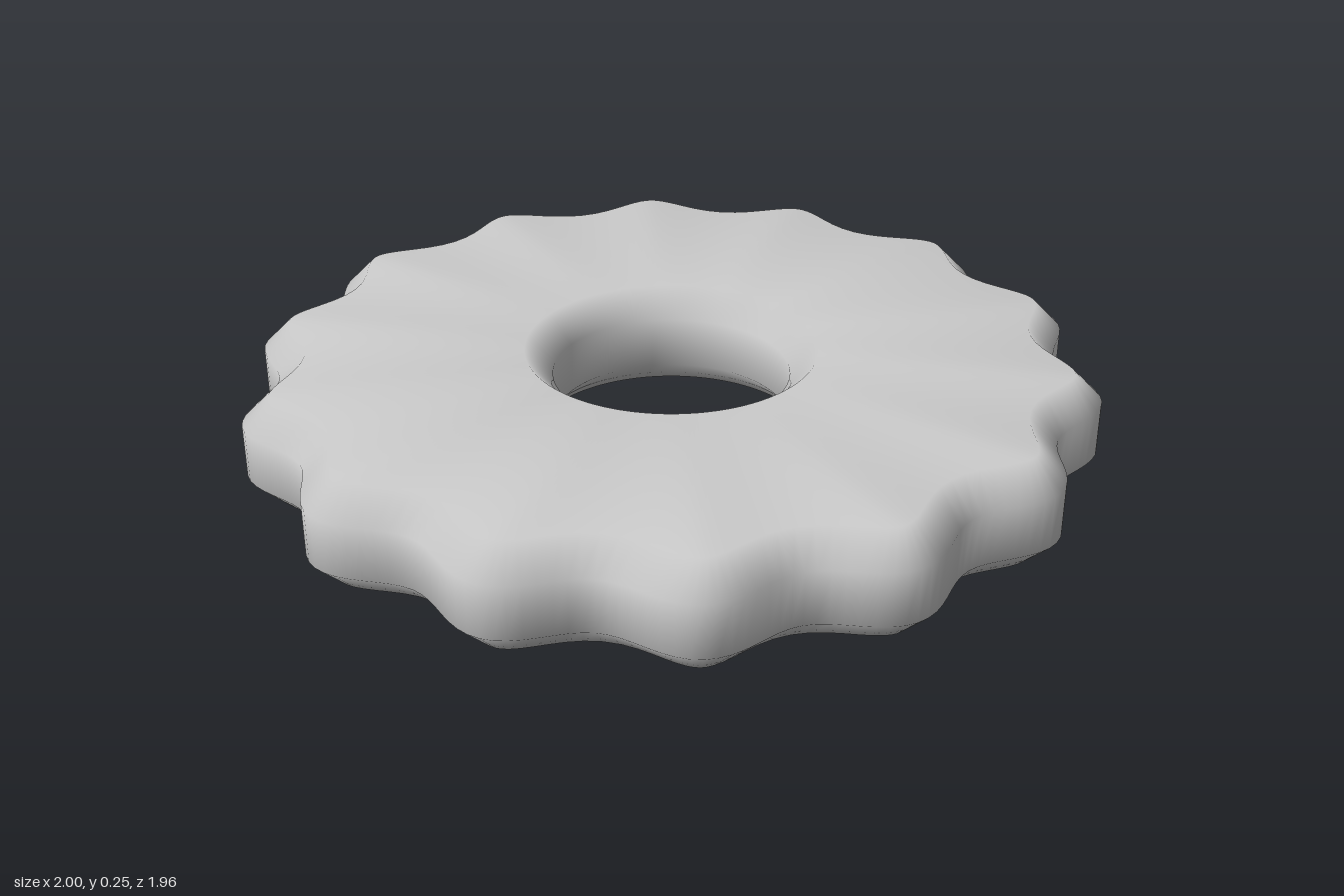
import * as THREE from 'three';

const LOBES = 14, SEGMENTS = LOBES * 16;
const HEIGHT = 0.255, BEVEL = 0.065, HOLE = 0.28;

// Point on the wavy rim, moved inwards along the rim's normal by inset
function rimPoint(t, inset) {
  const r = 0.96 + 0.04 * Math.cos(LOBES * t);
  const dr = -0.04 * LOBES * Math.sin(LOBES * t);
  const c = Math.cos(t), s = Math.sin(t);
  const tx = dr * c - r * s, tz = dr * s + r * c, len = Math.hypot(tx, tz);
  return [r * c - inset * tz / len, r * s + inset * tx / len];
}

const holePoint = (t, inset) => [(HOLE + inset) * Math.cos(t), (HOLE + inset) * Math.sin(t)];

// Closed cross-section: up the hole, across the top, down the rim, back below
const SECTION = [
  [holePoint, 0, BEVEL], [holePoint, 0, HEIGHT - BEVEL], [holePoint, BEVEL, HEIGHT],
  [rimPoint, BEVEL, HEIGHT], [rimPoint, 0, HEIGHT - BEVEL], [rimPoint, 0, BEVEL],
  [rimPoint, BEVEL, 0], [holePoint, BEVEL, 0],
];

function scallopedRing() {
  const n = SECTION.length, positions = [], index = [];
  for (let i = 0; i < SEGMENTS; i++) {
    const t = i / SEGMENTS * Math.PI * 2;
    for (const [point, inset, y] of SECTION) {
      const [x, z] = point(t, inset);
      positions.push(x, y, z);
    }
    const next = (i + 1) % SEGMENTS;
    for (let j = 0; j < n; j++) {
      const k = (j + 1) % n;
      const a = i * n + j, b = next * n + j, c = next * n + k, d = i * n + k;
      index.push(a, b, c, a, c, d);
    }
  }
  const geometry = new THREE.BufferGeometry();
  geometry.setAttribute('position', new THREE.Float32BufferAttribute(positions, 3));
  geometry.setIndex(index);
  geometry.computeVertexNormals();
  return geometry;
}

export function createModel() {
  const group = new THREE.Group();
  group.name = 'scallopedWheel';
  const grey = new THREE.MeshStandardMaterial({ color: 0xcccccc });
  grey.name = 'light grey';
  const disc = new THREE.Mesh(scallopedRing(), grey);
  disc.name = 'scallopedDisc';
  group.add(disc);
  return group;
}
